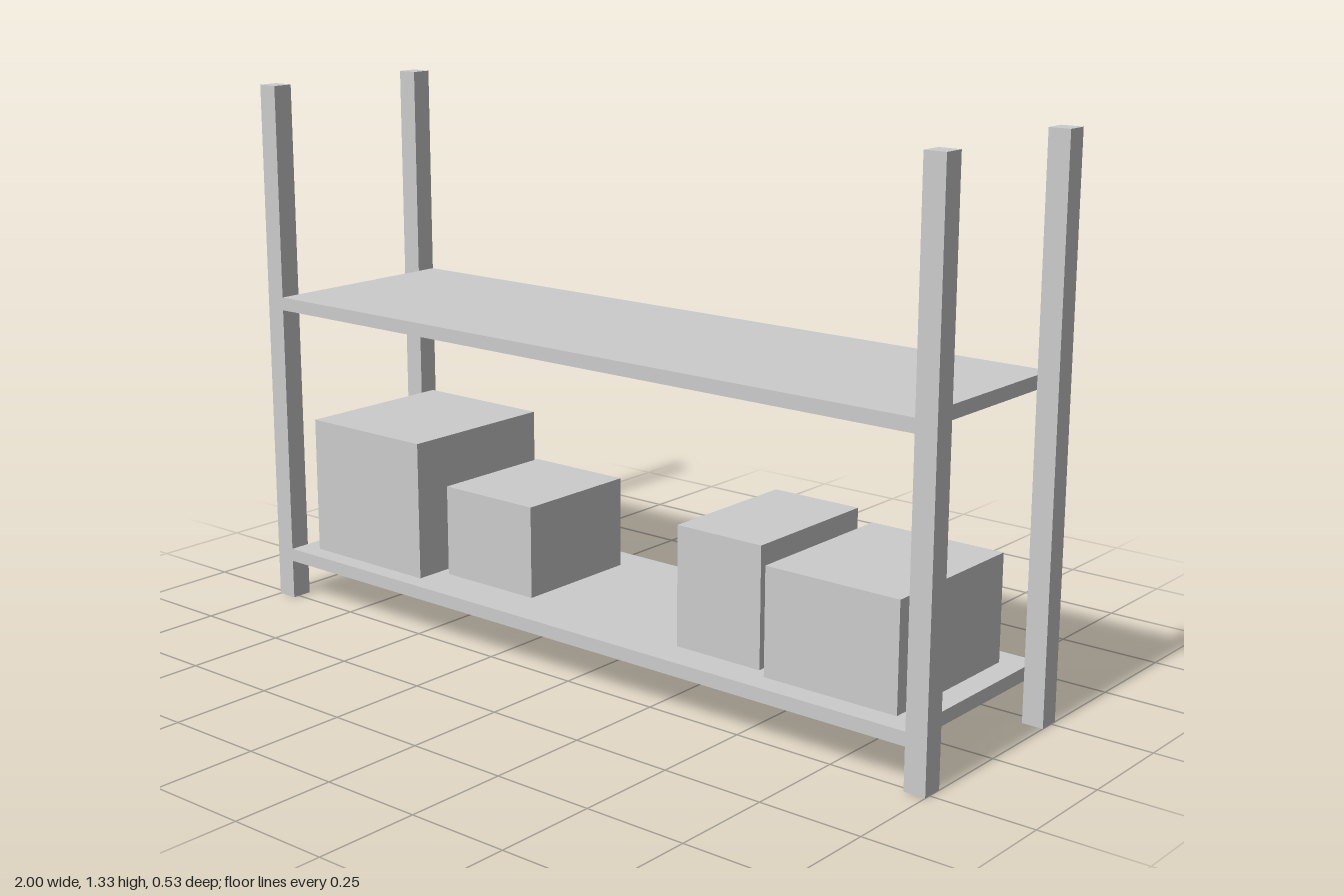
import * as THREE from 'three';

const material = new THREE.MeshStandardMaterial({ color: 0xcccccc, flatShading: true });

// Box given by its extents along each axis
function addBox(parent, name, [x0, x1], [y0, y1], [z0, z1]) {
  const mesh = new THREE.Mesh(new THREE.BoxGeometry(x1 - x0, y1 - y0, z1 - z0), material);
  mesh.position.set((x0 + x1) / 2, (y0 + y1) / 2, (z0 + z1) / 2);
  mesh.name = name;
  parent.add(mesh);
}

export function createModel() {
  const group = new THREE.Group();
  group.name = 'storageRack';

  // Four corner posts
  for (const [side, sx] of [['Left', 1], ['Right', -1]]) {
    for (const [end, sz] of [['front', 1], ['back', -1]]) {
      const x = sx * 0.9735, z = sz * 0.24;
      addBox(group, `${end}${side}Post`, [x - 0.0265, x + 0.0265], [0, 1.333], [z - 0.0265, z + 0.0265]);
    }
  }

  // Two shelves, spanning between the post pairs
  for (const [name, top] of [['lowerShelf', 0.133], ['upperShelf', 0.8]]) {
    addBox(group, name, [-0.947, 0.947], [top - 0.033, top], [-0.2665, 0.2665]);
  }

  // Cartons on the lower shelf: x range, top height, z range
  const cartons = [
    ['largeCarton', [-0.893, -0.52], 0.48, [-0.203, 0.22]],
    ['smallCarton', [-0.49, -0.207], 0.362, [-0.183, 0.15]],
    ['narrowCarton', [0.273, 0.508], 0.422, [-0.191, 0.181]],
    ['wideCarton', [0.54, 0.888], 0.39, [-0.204, 0.208]],
  ];
  for (const [name, x, top, z] of cartons) addBox(group, name, x, [0.133, top], z);

  return group;
}
